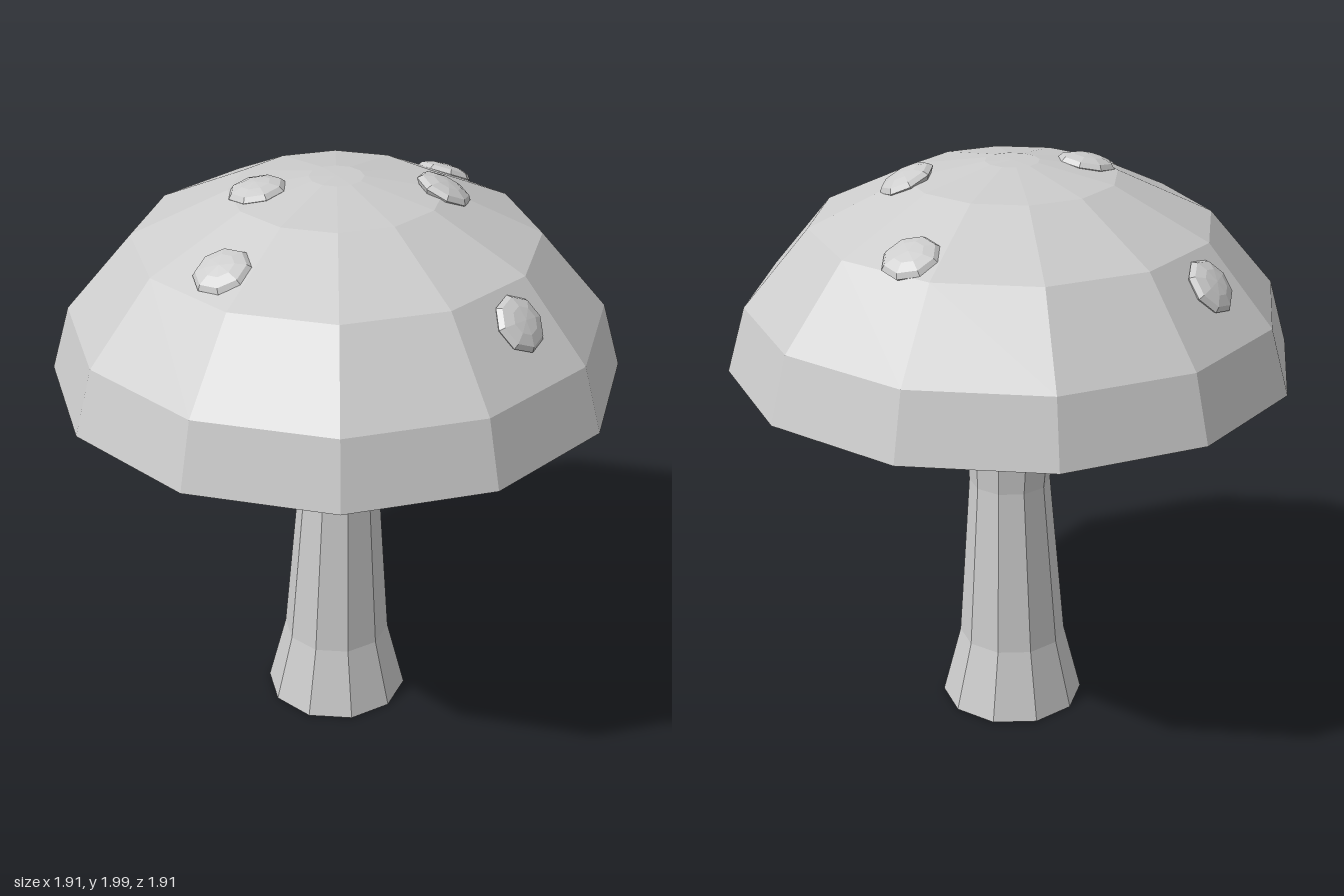
import * as THREE from 'three';

const V2 = (p) => new THREE.Vector2(p[0], p[1]);

// Faceted look: every triangle gets its own normal
function faceted(geometry) {
  const flat = geometry.toNonIndexed();
  flat.computeVertexNormals();
  return flat;
}

// Upper cap profile as [radius, height], rim to crown
const dome = [[0.953, 1.31], [0.89, 1.53], [0.67, 1.79], [0.35, 1.943], [0.09, 1.99], [0, 1.992]];

// Height and slope angle of the dome at a given radius
function domeAt(r) {
  const i = dome.findIndex((p, k) => k > 0 && p[0] <= r);
  const [r0, y0] = dome[i - 1];
  const [r1, y1] = dome[i];
  return { y: y0 + ((y1 - y0) * (r - r0)) / (r1 - r0), slope: Math.atan2(y1 - y0, r0 - r1) };
}

export function createModel() {
  const group = new THREE.Group();
  const grey = new THREE.MeshStandardMaterial({ color: 0xcccccc });
  grey.name = 'paleGrey';

  const add = (name, geometry) => {
    const mesh = new THREE.Mesh(faceted(geometry), grey);
    mesh.name = name;
    group.add(mesh);
    return mesh;
  };

  // Cap: twelve-sided dome with a slightly hollow underside
  const underside = [[0, 1.255], [0.67, 1.215]];
  add('cap', new THREE.LatheGeometry([...underside, ...dome].map(V2), 12));

  // Stem: ten-sided, flared foot, waist bent a little to one side
  const stemProfile = [[0, 0], [0.25, 0], [0.187, 0.25], [0.141, 0.85], [0.166, 1.2], [0.168, 1.27]];
  const stem = new THREE.LatheGeometry(stemProfile.map(V2), 10, Math.PI / 10);
  const pos = stem.attributes.position;
  for (let i = 0; i < pos.count; i++) {
    if (Math.abs(pos.getY(i) - 0.85) < 0.01) {
      pos.setX(i, pos.getX(i) + 0.007);
      pos.setZ(i, pos.getZ(i) + 0.005);
    }
  }
  add('stem', stem);

  // Spots: flattened low-poly blobs lying on the dome, placed by [x, z, turn]
  const spots = [
    [0.24, 0.69, 0.2], [-0.24, -0.69, 0.5], [-0.51, 0.18, 0.1],
    [0.55, -0.2, 0.4], [0.3, 0.17, 0.3], [-0.24, -0.09, 0.6],
  ];
  const up = new THREE.Vector3(0, 1, 0);
  spots.forEach(([x, z, turn], i) => {
    const r = Math.hypot(x, z);
    const { y, slope } = domeAt(r / 0.975);
    const normal = new THREE.Vector3((x / r) * Math.sin(slope), Math.cos(slope), (z / r) * Math.sin(slope));
    const blob = new THREE.SphereGeometry(0.097, 8, 6);
    blob.rotateY(turn);
    blob.scale(1, 0.32, 1);
    const spot = add('spot' + (i + 1), blob);
    spot.quaternion.setFromUnitVectors(up, normal);
    spot.position.set(x, y, z);
  });

  return group;
}
